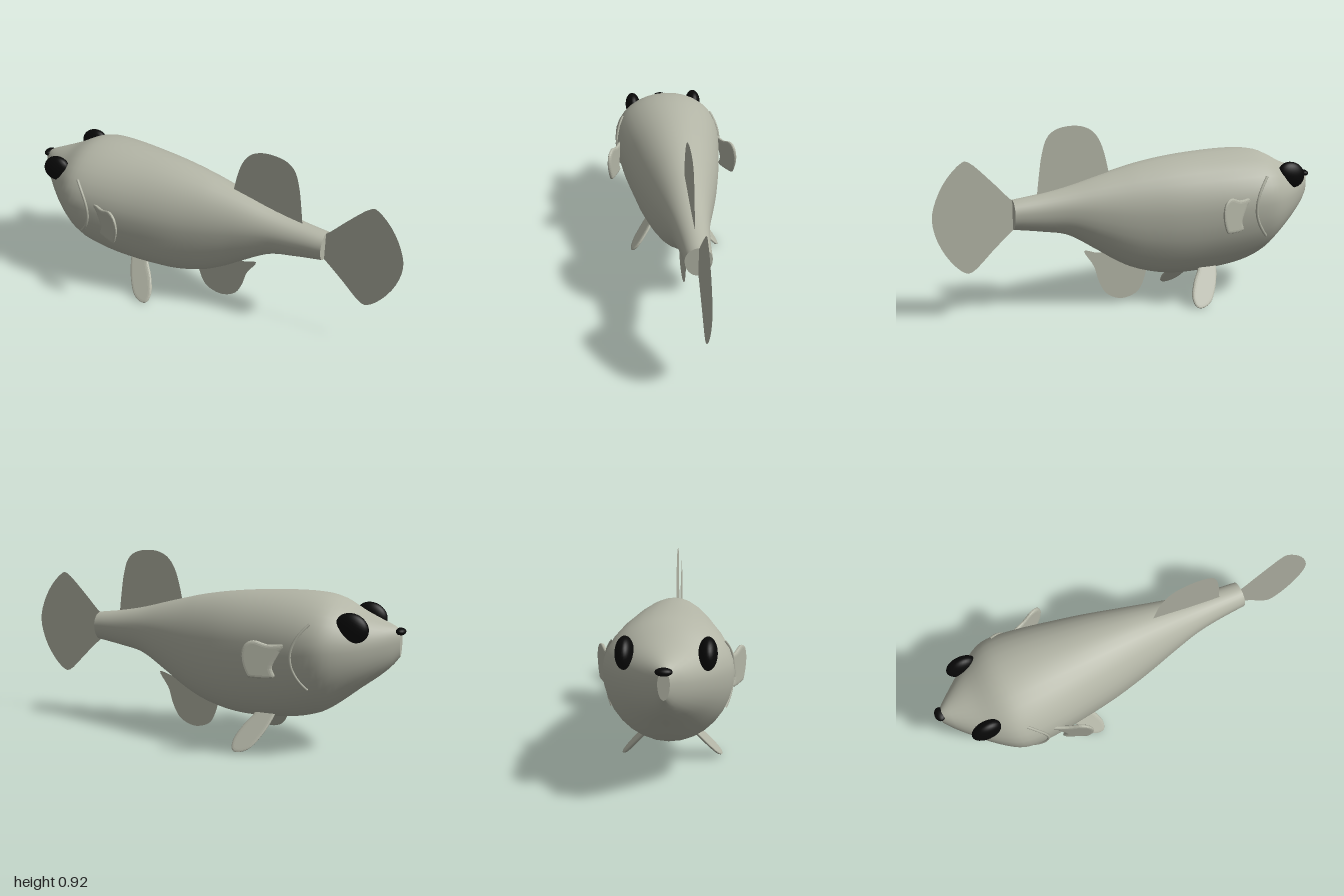
import * as THREE from 'three';

// body stations: x, top y, bottom y, half width
const STATIONS = [
  [-0.98, 0.61, 0.49, 0.025], [-0.95, 0.63, 0.45, 0.06], [-0.9, 0.65, 0.4, 0.11],
  [-0.8, 0.69, 0.32, 0.2], [-0.7, 0.742, 0.238, 0.268], [-0.63, 0.76, 0.193, 0.285],
  [-0.5, 0.766, 0.155, 0.276], [-0.3, 0.757, 0.135, 0.243], [-0.15, 0.742, 0.142, 0.214],
  [0, 0.717, 0.18, 0.178], [0.1, 0.693, 0.23, 0.153], [0.2, 0.667, 0.295, 0.128],
  [0.35, 0.626, 0.385, 0.094], [0.48, 0.6, 0.413, 0.075], [0.62, 0.58, 0.435, 0.063],
];
const WIDEST = 0.57; // height fraction of the widest point

// smooth interpolation of the stations at x
function section(x) {
  const S = STATIONS, n = S.length;
  let i = 0;
  while (i < n - 2 && x > S[i + 1][0]) i++;
  const slope = (j, k) => {
    const a = S[Math.max(j - 1, 0)], b = S[Math.min(j + 1, n - 1)];
    return (b[k] - a[k]) / (b[0] - a[0]);
  };
  const h = S[i + 1][0] - S[i][0], t = (x - S[i][0]) / h, t2 = t * t, t3 = t2 * t;
  const [top, bottom, width] = [1, 2, 3].map((k) =>
    (2 * t3 - 3 * t2 + 1) * S[i][k] + (t3 - 2 * t2 + t) * h * slope(i, k) +
    (3 * t2 - 2 * t3) * S[i + 1][k] + (t3 - t2) * h * slope(i + 1, k));
  return { top, bottom, width, mid: bottom + (top - bottom) * WIDEST };
}

// half width of the body at a given x and y
function surfaceZ(x, y) {
  const s = section(x);
  const v = (y - s.mid) / (y > s.mid ? s.top - s.mid : s.mid - s.bottom);
  return s.width * Math.sqrt(Math.max(0, 1 - v * v));
}

function bodyGeometry() {
  const rings = 56, sides = 32, pos = [], index = [];
  const ring = (x) => {
    const s = section(x);
    for (let j = 0; j < sides; j++) {
      const a = (j / sides) * Math.PI * 2, c = Math.cos(a);
      pos.push(x, s.mid + c * (c > 0 ? s.top - s.mid : s.mid - s.bottom), s.width * Math.sin(a));
    }
  };
  for (let i = 0; i <= rings; i++) ring(-0.98 + (1.6 * i) / rings);
  for (let i = 0; i < rings; i++) {
    for (let j = 0; j < sides; j++) {
      const a = i * sides + j, b = i * sides + ((j + 1) % sides);
      index.push(a, b, a + sides, b, b + sides, a + sides);
    }
  }
  // flat caps with their own vertices, for a sharp rim
  for (const [x, front] of [[-0.98, true], [0.62, false]]) {
    const start = pos.length / 3;
    ring(x);
    pos.push(x, section(x).mid, 0);
    for (let j = 0; j < sides; j++) {
      const a = start + j, b = start + ((j + 1) % sides);
      index.push(start + sides, front ? b : a, front ? a : b);
    }
  }
  const g = new THREE.BufferGeometry();
  g.setAttribute('position', new THREE.Float32BufferAttribute(pos, 3));
  g.setIndex(index);
  g.computeVertexNormals();
  return g;
}

// fin outline: straight root from last to first point, smooth elsewhere
function finShape(points) {
  const p = points.map(([x, y]) => new THREE.Vector2(x, y));
  return new THREE.Shape(new THREE.SplineCurve(p).getPoints(40));
}

// thick fin whose z follows a rule
function pairedFin(points, zRule) {
  const g = new THREE.ExtrudeGeometry(finShape(points), {
    depth: 0.006, bevelEnabled: true, bevelThickness: 0.007, bevelSize: 0.015,
    bevelOffset: -0.015, bevelSegments: 3,
  });
  const p = g.attributes.position;
  for (let i = 0; i < p.count; i++) p.setZ(i, p.getZ(i) - 0.003 + zRule(p.getX(i), p.getY(i)));
  g.computeVertexNormals();
  return g;
}

export function createModel() {
  const skin = new THREE.MeshStandardMaterial({ color: 0xb3b5a6 });
  skin.name = 'skin';
  const finSkin = new THREE.MeshStandardMaterial({ color: 0xb3b5a6, side: THREE.DoubleSide });
  finSkin.name = 'finSkin';
  const black = new THREE.MeshStandardMaterial({ color: 0x080808 });
  black.name = 'black';

  const model = new THREE.Group();
  model.name = 'fish';
  const add = (name, geometry, material, parent = model) => {
    const m = new THREE.Mesh(geometry, material);
    m.name = name;
    parent.add(m);
    return m;
  };

  add('body', bodyGeometry(), skin);

  // fins on the centre line
  const flatFins = {
    dorsalFin: [[0.13, 0.62], [0.135, 0.69], [0.165, 0.81], [0.205, 0.88], [0.26, 0.913], [0.33, 0.92],
      [0.4, 0.905], [0.445, 0.865], [0.47, 0.79], [0.485, 0.7], [0.5, 0.58]],
    analFin: [[-0.08, 0.22], [-0.06, 0.13], [-0.025, 0.055], [0.04, 0.025], [0.1, 0.03],
      [0.155, 0.065], [0.19, 0.13], [0.215, 0.21], [0.265, 0.293], [0.18, 0.275], [0.12, 0.32]],
    tailFin: [[0.6, 0.56], [0.64, 0.595], [0.72, 0.68], [0.815, 0.77], [0.86, 0.768], [0.93, 0.695],
      [0.98, 0.6], [1, 0.51], [0.98, 0.41], [0.93, 0.315], [0.865, 0.248], [0.815, 0.248],
      [0.72, 0.34], [0.64, 0.415], [0.6, 0.45]],
  };
  for (const [name, pts] of Object.entries(flatFins)) {
    add(name, new THREE.ShapeGeometry(finShape(pts)), finSkin);
  }

  // dark lip
  const lip = add('lip', new THREE.SphereGeometry(1, 20, 12), black);
  lip.scale.set(0.026, 0.017, 0.036);
  lip.position.set(-0.974, 0.606, 0);

  // gill ridge following the body
  const gillPoints = [];
  for (let i = 0; i <= 16; i++) {
    const a = -1 + i / 8;
    const x = -0.545 - 0.075 * a * a, y = 0.5 + 0.15 * a;
    gillPoints.push(new THREE.Vector3(x, y, surfaceZ(x, y) + 0.001));
  }
  const gill = new THREE.TubeGeometry(new THREE.CatmullRomCurve3(gillPoints), 32, 0.007, 6);

  const pectoral = pairedFin([[-0.53, 0.56], [-0.45, 0.553], [-0.385, 0.573], [-0.345, 0.55],
    [-0.333, 0.49], [-0.355, 0.415], [-0.38, 0.4], [-0.47, 0.4], [-0.462, 0.45], [-0.495, 0.52]],
  (x) => 0.255 + (x + 0.53) * 0.43);
  const pelvic = pairedFin([[-0.42, 0.19], [-0.4, 0.13], [-0.375, 0.08], [-0.335, 0.028], [-0.285, 0.005],
    [-0.247, 0.012], [-0.24, 0.055], [-0.27, 0.115], [-0.305, 0.16], [-0.32, 0.19]],
  (x, y) => 0.105 + (0.17 - y) * 0.8);

  // paired parts, mirrored across the centre line
  for (const side of [1, -1]) {
    const half = new THREE.Group();
    half.name = side > 0 ? 'frontSideParts' : 'backSideParts';
    half.scale.z = side;
    model.add(half);
    const eye = add('eye', new THREE.SphereGeometry(1, 28, 18), black, half);
    eye.scale.set(0.078, 0.065, 0.04);
    eye.rotation.z = 0.45;
    eye.position.set(-0.797, 0.637, 0.172);
    add('gill', gill, skin, half);
    add('pectoralFin', pectoral, finSkin, half);
    add('pelvicFin', pelvic, finSkin, half);
  }
  return model;
}
